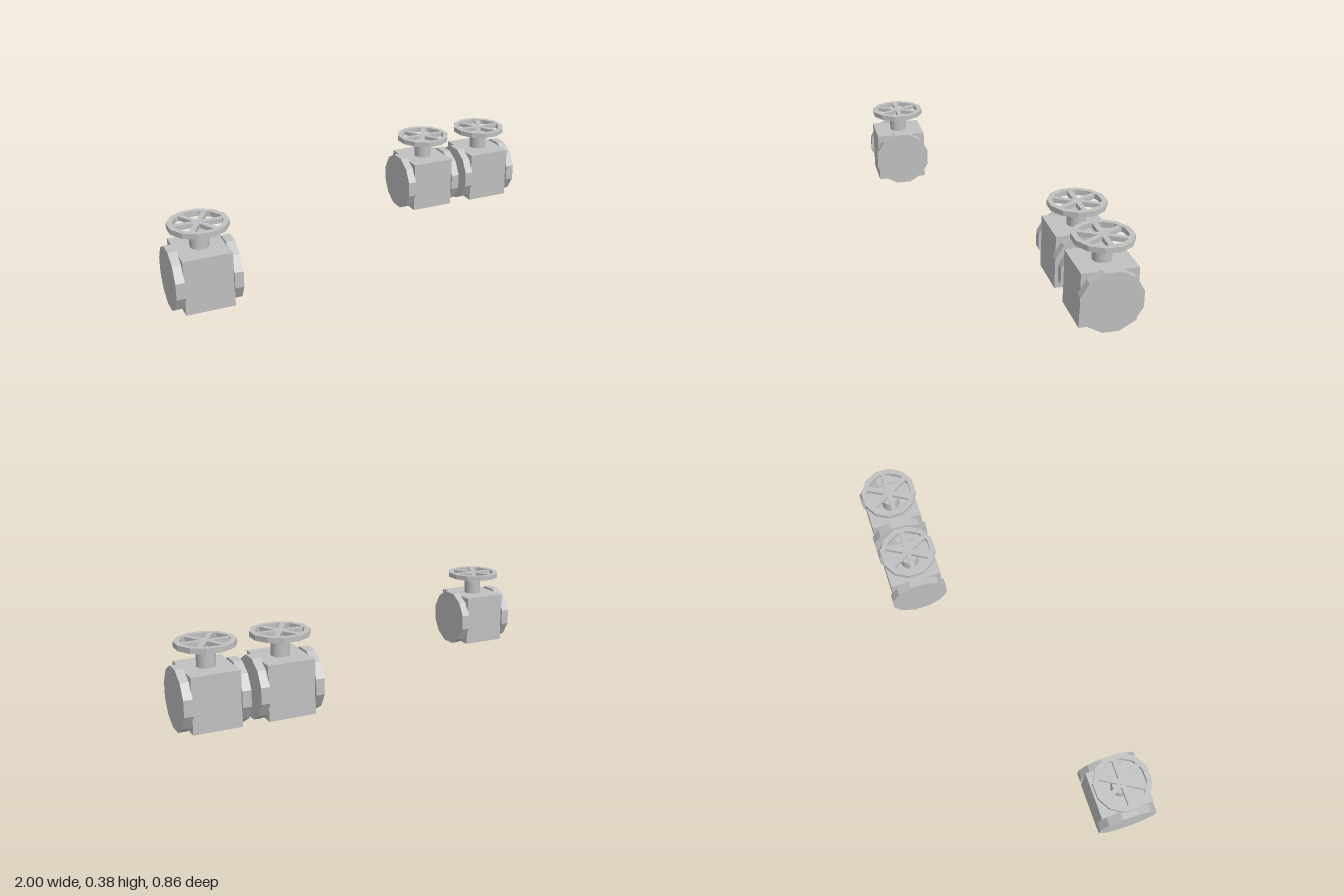
import * as THREE from 'three';

const metal = new THREE.MeshStandardMaterial({ color: 0xc0c0c0 });
metal.name = 'grey metal';

function addPart(parent, name, geometry, x = 0, y = 0, z = 0) {
  const mesh = new THREE.Mesh(geometry, metal);
  mesh.name = name;
  mesh.position.set(x, y, z);
  parent.add(mesh);
  return mesh;
}

// Regular twelve-sided outline with a flat edge facing each axis
function dodecagon(apothem, PathType) {
  const radius = apothem / Math.cos(Math.PI / 12);
  const points = [];
  for (let i = 0; i < 12; i++) {
    const a = Math.PI / 12 + (i * Math.PI) / 6;
    points.push(new THREE.Vector2(Math.cos(a) * radius, Math.sin(a) * radius));
  }
  return new PathType(points);
}

// Handwheel: faceted rim with three crossing bars making six spokes
function createHandwheel() {
  const wheel = new THREE.Group();
  wheel.name = 'handwheel';
  const outline = dodecagon(0.128, THREE.Shape);
  outline.holes.push(dodecagon(0.104, THREE.Path));
  const rim = new THREE.ExtrudeGeometry(outline, { depth: 0.024, bevelEnabled: false });
  rim.translate(0, 0, -0.012).rotateX(-Math.PI / 2);
  addPart(wheel, 'rim', rim);
  for (let i = 0; i < 3; i++) {
    // Slight height steps keep the crossing faces apart
    const bar = addPart(wheel, 'spokeBar', new THREE.BoxGeometry(0.216, 0.021 - i * 0.0006, 0.023));
    bar.rotation.y = (i * Math.PI) / 3;
  }
  return wheel;
}

function createValve() {
  const valve = new THREE.Group();
  valve.name = 'valve';
  addPart(valve, 'body', new THREE.BoxGeometry(0.216, 0.25, 0.25), 0, 0.138, 0);

  // Twelve-sided end flanges
  for (const side of [-1, 1]) {
    const flange = new THREE.ExtrudeGeometry(dodecagon(0.137, THREE.Shape), { depth: 0.04, bevelEnabled: false });
    flange.translate(0, 0, -0.02).rotateY(Math.PI / 2);
    addPart(valve, side > 0 ? 'leftFlange' : 'rightFlange', flange, side * 0.126, 0.137, 0);
  }

  // Round stem below the floating handwheel
  addPart(valve, 'stem', new THREE.CylinderGeometry(0.042, 0.042, 0.09, 32), 0, 0.285, 0);
  const wheel = createHandwheel();
  wheel.position.y = 0.364;
  valve.add(wheel);
  return valve;
}

export function createModel() {
  const model = new THREE.Group();
  model.name = 'valves';
  // One single valve and a neighbouring pair
  for (const [x, z] of [[-0.854, 0.291], [0.519, -0.291], [0.854, -0.291]]) {
    const valve = createValve();
    valve.position.set(x, 0, z);
    model.add(valve);
  }
  return model;
}
